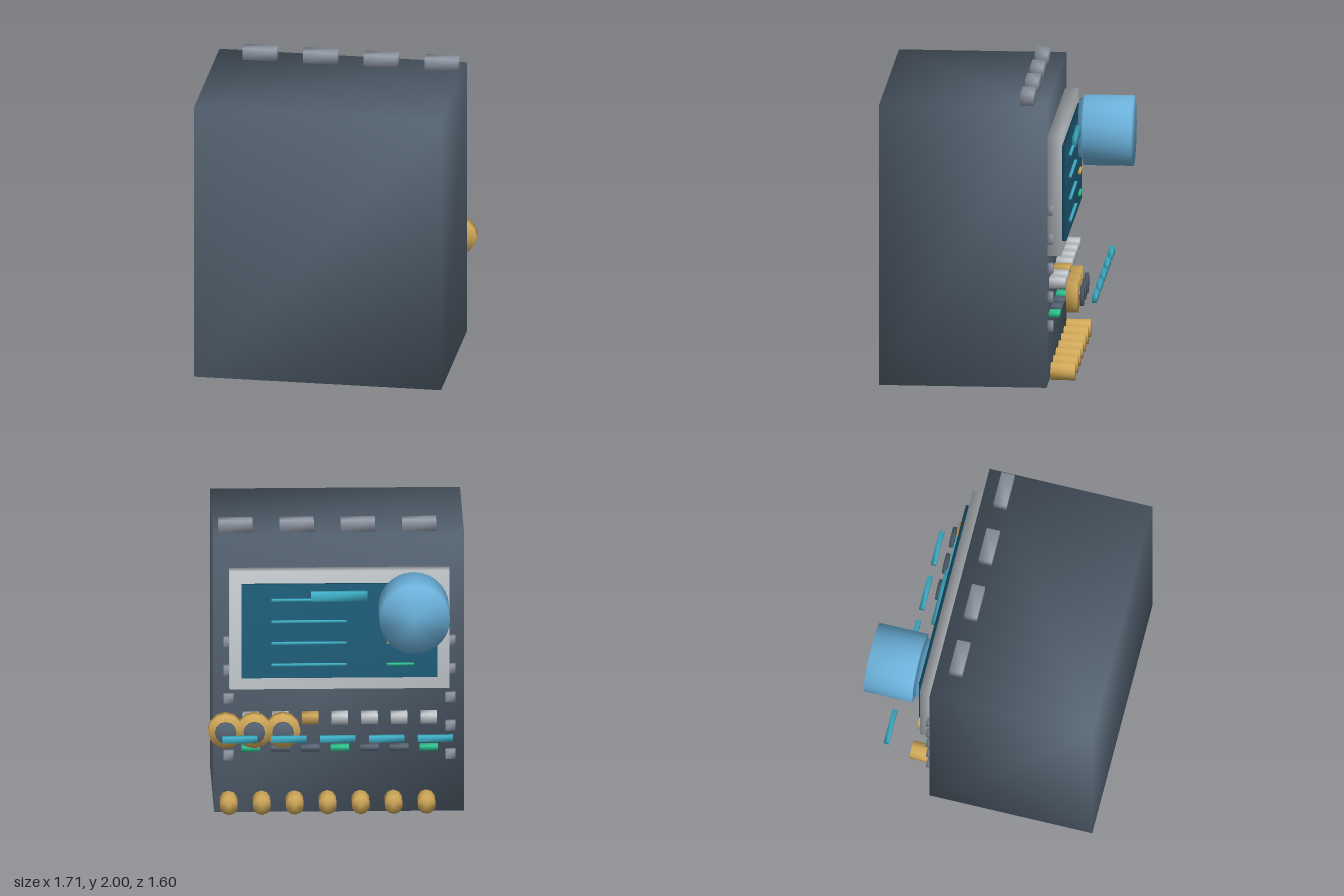
import * as THREE from 'three';
import { mergeVertices } from 'three/addons/utils/BufferGeometryUtils.js';

const material = (name, color) => {
  const m = new THREE.MeshStandardMaterial({ color });
  m.name = name;
  return m;
};

// Shared corners give softly blended normals across every edge
function soften(geometry) {
  geometry.deleteAttribute('uv');
  geometry.deleteAttribute('normal');
  const g = mergeVertices(geometry);
  g.computeVertexNormals();
  return g;
}

export function createModel() {
  const model = new THREE.Group();
  model.name = 'controlCabinet';

  const slate = material('slate', 0x586675);
  const steel = material('steel', 0x939ba8);
  const silver = material('silver', 0xc8ced3);
  const teal = material('deepTeal', 0x1f5f7c);
  const cyan = material('cyan', 0x3fb2ca);
  const blue = material('skyBlue', 0x6cb2dc);
  const brass = material('brass', 0xd0a859);
  const green = material('green', 0x2fc48f);

  function add(name, geometry, mat, x, y, z) {
    const mesh = new THREE.Mesh(soften(geometry), mat);
    mesh.name = name;
    mesh.position.set(x, y, z);
    model.add(mesh);
  }
  // Box given by its extents on each axis
  const box = (name, mat, [x0, x1], [y0, y1], [z0, z1]) =>
    add(name, new THREE.BoxGeometry(x1 - x0, y1 - y0, z1 - z0), mat,
      (x0 + x1) / 2, (y0 + y1) / 2, (z0 + z1) / 2);
  // Cylinder lying along z
  const drum = (name, mat, x, y, r, [z0, z1], sides) =>
    add(name, new THREE.CylinderGeometry(r, r, z1 - z0, sides).rotateX(Math.PI / 2), mat,
      x, y, (z0 + z1) / 2);

  // Cabinet, display frame and screen
  box('cabinet', slate, [-0.86, 0.81], [0, 1.92], [-0.32, 0.8]);
  box('displayFrame', silver, [-0.76, 0.71], [0.88, 1.7], [-0.41, -0.32]);
  box('screen', teal, [-0.68, 0.63], [0.965, 1.615], [-0.438, -0.41]);

  // Screen readouts
  box('screenTitle', cyan, [-0.21, 0.165], [1.505, 1.57], [-0.466, -0.436]);
  for (const y of [1.51, 1.36, 1.21, 1.06]) {
    box('screenLine', cyan, [-0.07, 0.43], [y - 0.008, y + 0.008], [-0.456, -0.437]);
  }
  box('brassMarker', brass, [-0.52, -0.34], [1.202, 1.218], [-0.456, -0.437]);
  box('greenMarker', green, [-0.52, -0.34], [1.052, 1.068], [-0.456, -0.437]);

  // Large barrel in front of the screen
  drum('barrelCollar', blue, -0.516, 1.485, 0.197, [-0.475, -0.437], 24);
  drum('barrel', blue, -0.518, 1.47, 0.236, [-0.8, -0.47], 28);

  // Blocks along the top edge
  for (let i = 0; i < 4; i++) {
    const x = -0.562 + i * 0.409;
    box('topBlock', steel, [x - 0.114, x + 0.114], [1.92, 2], [-0.23, -0.14]);
  }

  // Side clips down both edges of the back panel
  for (let i = 0; i < 5; i++) {
    const y = 0.403 + i * 0.1975;
    for (const x of [-0.768, 0.713]) {
      box('edgeClip', steel, [x - 0.033, x + 0.033], [y - 0.032, y + 0.032], [-0.357, -0.32]);
    }
  }

  // Button and key rows
  for (let i = 0; i < 7; i++) {
    const x = -0.622 + i * 0.198;
    box('button', i === 4 ? brass : silver, [x - 0.055, x + 0.055], [0.638, 0.7], [-0.43, -0.32]);
    box('key', i % 3 === 0 ? green : slate, [x - 0.062, x + 0.062], [0.44, 0.472], [-0.392, -0.32]);
  }

  // Dials with dark caps
  for (let i = 0; i < 3; i++) {
    const x = 0.355 + i * 0.1915;
    drum('dial', brass, x, 0.62, 0.117, [-0.527, -0.452], 12);
    drum('dialCap', slate, x, 0.62, 0.072, [-0.565, -0.542], 12);
  }

  // Row of light bars
  for (let i = 0; i < 5; i++) {
    const x = -0.66 + i * 0.3262;
    box('lightBar', cyan, [x - 0.118, x + 0.118], [0.577, 0.62], [-0.653, -0.62]);
  }

  // Knobs along the bottom
  for (let i = 0; i < 7; i++) {
    drum('bottomKnob', brass, -0.605 + i * 0.22, 0.094, 0.061, [-0.505, -0.342], 10);
  }

  return model;
}
